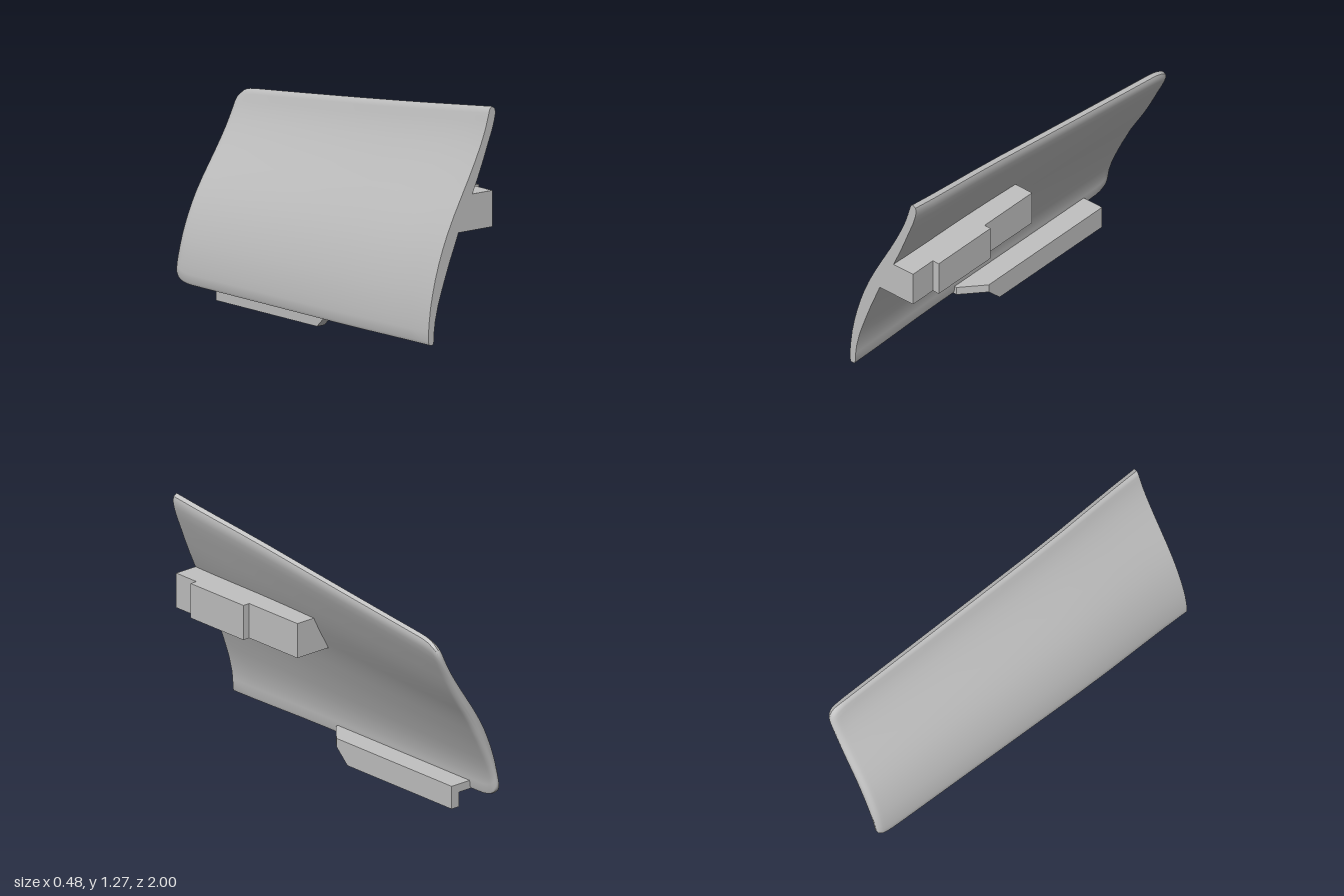
import * as THREE from 'three';
import { toCreasedNormals } from 'three/addons/utils/BufferGeometryUtils.js';

const BASE = 0.08, HEIGHT = 1.195;

// Cross-section at the front end: [height, outer x, inner x]
const SECTION = [
  [0.08, -0.208, -0.208], [0.084, -0.22, -0.194], [0.1, -0.226, -0.189], [0.15, -0.225, -0.187],
  [0.2, -0.221, -0.181], [0.28, -0.211, -0.162], [0.35, -0.197, -0.139], [0.42, -0.18, -0.114],
  [0.5, -0.156, -0.084], [0.57, -0.131, -0.055], [0.645, -0.1, -0.025], [0.74, -0.054, 0.021],
  [0.835, -0.003, 0.068], [0.92, 0.043, 0.106], [1.0, 0.084, 0.139], [1.08, 0.122, 0.17],
  [1.15, 0.15, 0.198], [1.2, 0.166, 0.214], [1.24, 0.177, 0.222], [1.262, 0.184, 0.217],
  [1.275, 0.197, 0.197],
];

// Middle line of the curved section at a given height
function middle(y) {
  let i = 0;
  while (i < SECTION.length - 2 && SECTION[i + 1][0] < y) i++;
  const [y0, o0, i0] = SECTION[i], [y1, o1, i1] = SECTION[i + 1];
  return THREE.MathUtils.lerp((o0 + i0) / 2, (o1 + i1) / 2, (y - y0) / (y1 - y0));
}

// Closed loop at depth z: up the outer face, down the inner face
function sectionLoop(z) {
  const top = 1.153 + 0.118 * z + 0.004 * z * z;
  const scale = (top - BASE) / HEIGHT;
  const q = THREE.MathUtils.clamp((-0.82 - z) / 0.18, 0, 1);
  const corner = 0.085 * (1 - Math.sqrt(1 - q ** 4 * 0.999));
  const r = THREE.MathUtils.clamp((-0.965 - z) / 0.035, 0, 1);
  const thin = Math.sqrt(1 - r * r * 0.9);
  const shift = -0.016 * THREE.MathUtils.smoothstep(1 - z, 0, 0.7);
  const outer = [], inner = [];
  for (const [h, o, n] of SECTION) {
    const y = THREE.MathUtils.lerp(BASE + corner, top - corner, (h - BASE) / HEIGHT);
    const x = middle(BASE + (y - BASE) / scale) + shift;
    const half = (n - o) / 2 * thin;
    outer.push([x - half, y, z]);
    inner.push([x + half, y, z]);
  }
  return [...outer, ...inner.slice(1, -1).reverse()];
}

function panelGeometry() {
  const depths = [1, 0.85, 0.7, 0.5, 0.3, 0, -0.3, -0.6, -0.82, -0.86, -0.9, -0.93, -0.95,
    -0.965, -0.975, -0.985, -0.992, -0.997, -1];
  const positions = depths.flatMap(z => sectionLoop(z).flat());
  const n = SECTION.length - 1, m = 2 * n, index = [];
  for (let k = 0; k < depths.length - 1; k++) {
    for (let j = 0; j < m; j++) {
      const a = k * m + j, b = k * m + (j + 1) % m;
      index.push(a, b, b + m, a, b + m, a + m);
    }
  }
  // End caps
  const end = (depths.length - 1) * m;
  for (let i = 0; i < n; i++) {
    const l0 = i, l1 = i + 1, r0 = (m - i) % m, r1 = m - i - 1;
    if (i < n - 1) index.push(l0, r1, l1, end + l0, end + l1, end + r1);
    if (i > 0) index.push(l0, r0, r1, end + l0, end + r1, end + r0);
  }
  const g = new THREE.BufferGeometry();
  g.setAttribute('position', new THREE.Float32BufferAttribute(positions, 3));
  g.setIndex(index);
  return toCreasedNormals(g, 0.7);
}

function extrude(points, depth) {
  const shape = new THREE.Shape(points.map(p => new THREE.Vector2(...p)));
  return new THREE.ExtrudeGeometry(shape, { depth, bevelEnabled: false });
}

export function createModel() {
  const model = new THREE.Group();
  model.name = 'curvedPanel';
  const grey = new THREE.MeshStandardMaterial({ color: 0xc0c0c0 });
  grey.name = 'light grey';
  const add = (name, geometry, parent = model) => {
    const mesh = new THREE.Mesh(geometry, grey);
    mesh.name = name;
    parent.add(mesh);
    return mesh;
  };

  add('panelShell', panelGeometry());

  // Upper bracket: long block following the panel slope, with a raised pad
  const bracket = new THREE.Group();
  bracket.name = 'upperBracket';
  model.add(bracket);
  const block = [[-0.045, 0.645], [0.2, 0.645], [0.2, 0.835], [0.045, 0.835]];
  add('bracketBlock', extrude(block, 0.93).translate(0, 0, 0.07), bracket);
  add('bracketPad', new THREE.BoxGeometry(0.06, 0.19, 0.405).translate(0.21, 0.74, 0.6425), bracket);

  // Lower clip: flat ledge with a lip hanging from its edge
  const clip = new THREE.Group();
  clip.name = 'lowerClip';
  model.add(clip);
  const ledge = [[-0.215, 0.21], [-0.19, 0.21], [-0.08, 0.085], [-0.08, -0.8], [-0.215, -0.8]];
  add('clipLedge', extrude(ledge, 0.045).rotateX(Math.PI / 2).translate(0, 0.125, 0), clip);
  const lip = [[0.085, 0.08], [0, 0], [-0.8, 0], [-0.8, 0.08]];
  add('clipLip', extrude(lip, 0.05).rotateY(-Math.PI / 2).translate(-0.08, 0, 0), clip);

  return model;
}
